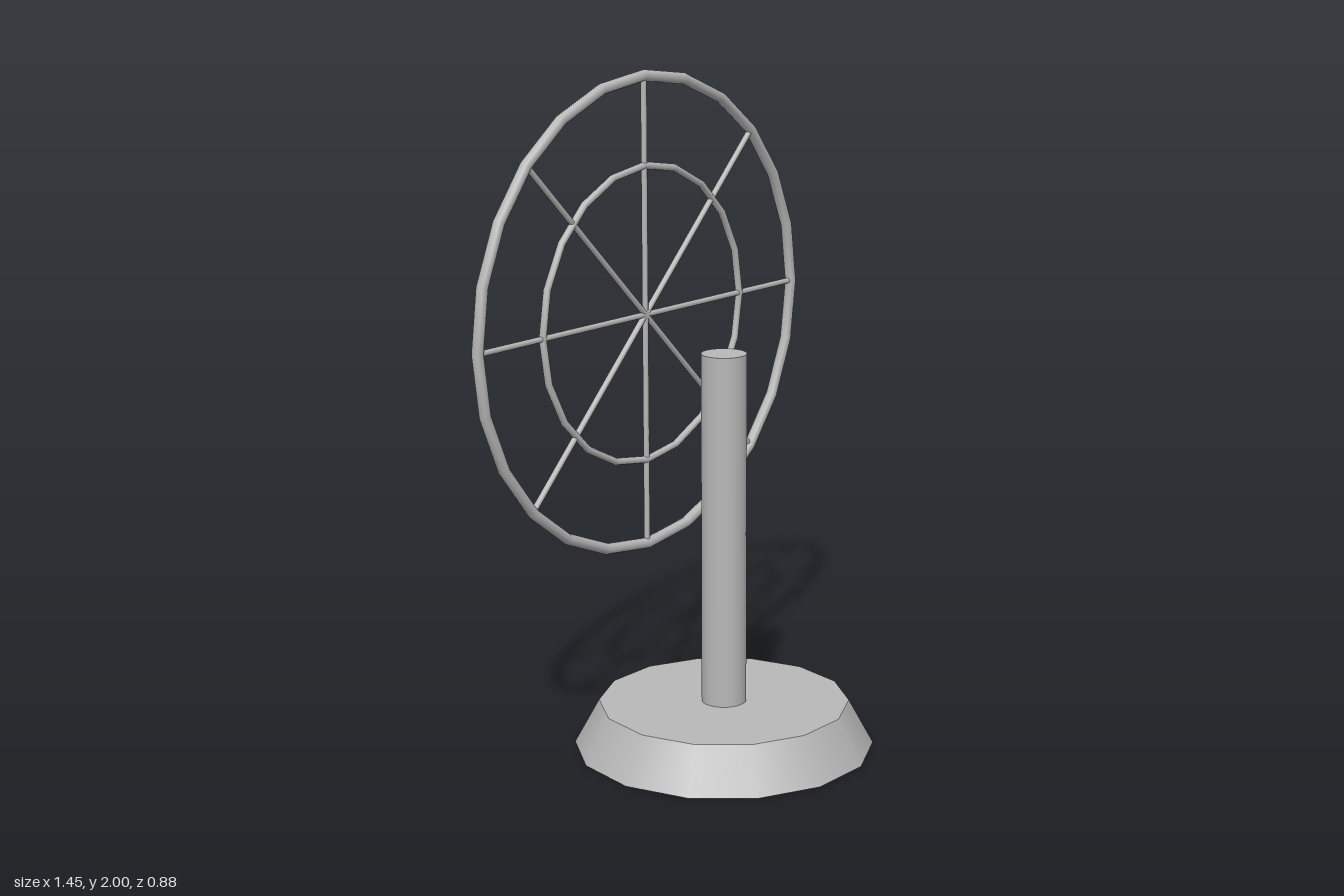
import * as THREE from 'three';

export function createModel() {
  const model = new THREE.Group();
  const grey = new THREE.MeshStandardMaterial({ color: 0xb8b8b8 });
  grey.name = 'grey metal';

  const add = (parent, name, geometry, x = 0, y = 0, z = 0) => {
    const mesh = new THREE.Mesh(geometry, grey);
    mesh.name = name;
    mesh.position.set(x, y, z);
    parent.add(mesh);
    return mesh;
  };

  // Tapered fourteen-sided base, with a corner on the x axis
  const baseHeight = 0.135;
  add(model, 'base', new THREE.CylinderGeometry(0.375, 0.449, baseHeight, 14, 1, false, Math.PI / 2), 0, baseHeight / 2, 0);

  // Upright post
  const postTop = 1.2;
  add(model, 'post', new THREE.CylinderGeometry(0.067, 0.067, postTop - baseHeight, 32), 0, (postTop + baseHeight) / 2, 0);

  // Wheel floating behind the post
  const wheel = new THREE.Group();
  wheel.name = 'wheel';
  wheel.position.set(0, 1.276, -0.3);
  model.add(wheel);

  const rimRadius = 0.707;
  add(wheel, 'outerRim', new THREE.TorusGeometry(rimRadius, 0.017, 8, 24));
  add(wheel, 'innerRing', new THREE.TorusGeometry(0.445, 0.011, 8, 20));

  // Four full-width bars make eight spokes
  for (let i = 0; i < 4; i++) {
    const bar = add(wheel, 'spokeBar', new THREE.CylinderGeometry(0.009, 0.009, rimRadius * 2, 8));
    bar.rotation.z = (i * Math.PI) / 4;
  }

  return model;
}
